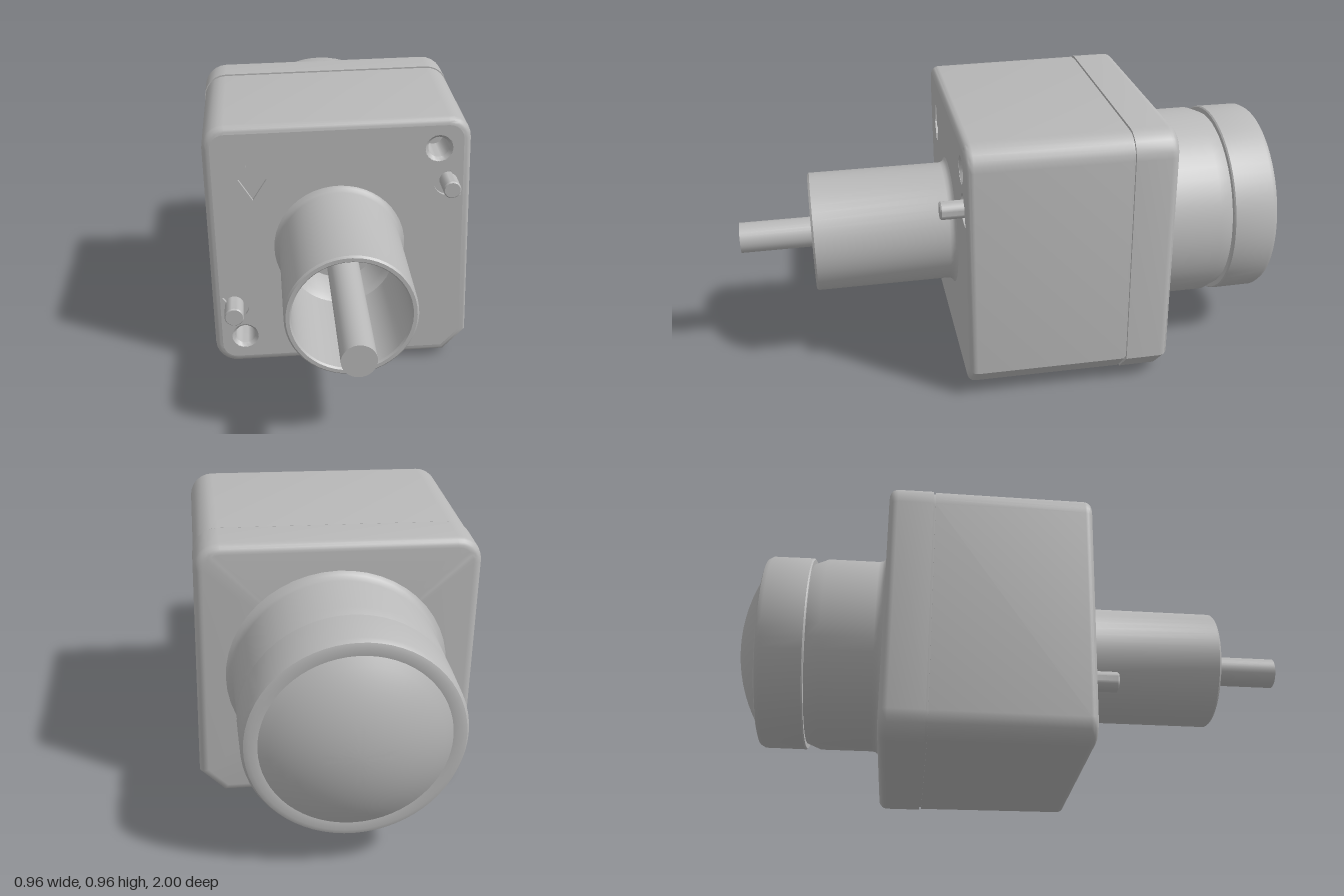
import * as THREE from 'three';
import { toCreasedNormals } from 'three/addons/utils/BufferGeometryUtils.js';

const TILT = 0.02;      // the housing sits slightly turned about the shaft axis
const CENTRE_Y = 0.483; // height of the shaft axis

// Rounded square with one chamfered lower corner, counter-clockwise
function outline(inset) {
  const h = 0.471 - inset, r = 0.085 - inset, c = 0.085 - 0.586 * inset;
  const pts = [new THREE.Vector2(h - c, -h), new THREE.Vector2(h, c - h)];
  [[1, 1], [-1, 1], [-1, -1]].forEach(([sx, sy], k) => {
    for (let i = 0; i <= 6; i++) {
      const a = (k + i / 6) * Math.PI / 2;
      pts.push(new THREE.Vector2(sx * (h - r) + r * Math.cos(a), sy * (h - r) + r * Math.sin(a)));
    }
  });
  return pts.map(p => p.rotateAround(new THREE.Vector2(), TILT));
}

// Skin through [z, inset] rings, closed at the back
function loftHousing(rings) {
  const pos = [], idx = [];
  rings.forEach(([z, inset]) => outline(inset).forEach(p => pos.push(p.x, p.y, z)));
  const n = outline(0).length;
  for (let i = 0; i < rings.length - 1; i++) {
    for (let j = 0; j < n; j++) {
      const a = i * n + j, b = i * n + (j + 1) % n;
      idx.push(a, b, b + n, a, b + n, a + n);
    }
  }
  const mid = pos.length / 3;
  pos.push(0, 0, rings[0][0]);
  for (let j = 0; j < n; j++) idx.push(mid, (j + 1) % n, j);
  const g = new THREE.BufferGeometry();
  g.setAttribute('position', new THREE.Float32BufferAttribute(pos, 3));
  g.setIndex(idx);
  return toCreasedNormals(g, 0.6);
}

// Turned part about the z axis from [radius, z] points
function turned(points, segments = 48) {
  const g = new THREE.LatheGeometry(points.map(p => new THREE.Vector2(...p)), segments);
  g.rotateX(Math.PI / 2);
  return toCreasedNormals(g, 0.6);
}

function circleHole(x, y, r) {
  return new THREE.Path().absarc(x, y, r, 0, Math.PI * 2, true);
}

// U-shaped pocket round a pin, running off towards the housing edge
function pocketHole(x, y, angle, xEnd) {
  const r = 0.053, path = new THREE.Path(), tan = Math.tan(angle);
  const side = s => {
    const px = x - s * r * Math.sin(angle), py = y + s * r * Math.cos(angle);
    return [xEnd, py + (xEnd - px) * tan];
  };
  path.moveTo(...side(1));
  path.absarc(x, y, r, angle + Math.PI / 2, angle + Math.PI * 1.5, false);
  path.lineTo(...side(-1));
  path.closePath();
  return path;
}

function plate(inset, z, depth, holes) {
  const shape = new THREE.Shape(outline(inset));
  shape.holes.push(...holes);
  const g = new THREE.ExtrudeGeometry(shape, { depth, bevelEnabled: false, curveSegments: 24 });
  g.translate(0, 0, z);
  return toCreasedNormals(g, 0.6);
}

export function createModel() {
  const group = new THREE.Group();
  const grey = new THREE.MeshStandardMaterial({ color: 0xb8b8b8 });
  grey.name = 'grey';
  const add = (name, geometry) => {
    const mesh = new THREE.Mesh(geometry, grey);
    mesh.name = name;
    mesh.position.y = CENTRE_Y;
    group.add(mesh);
  };

  // Housing with rounded rims and a seam in front of the rear cover
  const rings = [];
  for (let i = 0; i <= 5; i++) {
    const a = i / 5 * Math.PI / 2;
    rings.push([-0.48 + 0.03 * (1 - Math.cos(a)), 0.03 * (1 - Math.sin(a))]);
  }
  rings.push([-0.326, 0], [-0.326, 0.009], [-0.318, 0.009], [-0.318, 0.003]);
  for (let i = 0; i <= 5; i++) {
    const a = i / 5 * Math.PI / 2;
    rings.push([0.213 + 0.027 * Math.sin(a), 0.006 + 0.027 * (1 - Math.cos(a))]);
  }
  add('housing', loftHousing(rings));

  // Front plate with engraved arrow, pin pockets and screw holes
  const screws = [[0.345, 0.362], [-0.347, -0.36]];
  const pins = [[0.383, 0.237, 0.031], [-0.383, -0.236, 0.035]];
  const arrow = new THREE.Path([
    [-0.323, 0.332], [-0.323, 0.264], [-0.353, 0.264], [-0.303, 0.185],
    [-0.253, 0.264], [-0.283, 0.264], [-0.283, 0.332],
  ].map(p => new THREE.Vector2(...p)));
  add('frontPlate', plate(0.033, 0.226, 0.014, [
    circleHole(0, 0, 0.205), arrow,
    pocketHole(pins[0][0], pins[0][1], 0, 0.428),
    pocketHole(pins[1][0], pins[1][1], Math.PI + 0.52, -0.426).clone(),
    ...screws.map(([x, y]) => circleHole(x, y, 0.048)),
  ]));
  add('frontBacking', plate(0.036, 0.1, 0.126, [
    circleHole(0, 0, 0.205), ...screws.map(([x, y]) => circleHole(x, y, 0.042)),
  ]));

  // Countersunk screw holes
  screws.forEach(([x, y]) => {
    const g = turned([[0.049, 0.2402], [0.037, 0.226], [0.037, 0.1], [0, 0.1]], 24);
    add('screwHole', g.translate(x, y, 0));
  });

  // Locating pins
  pins.forEach(([x, y, r]) => {
    const g = turned([[r, 0.2], [r, 0.315], [r - 0.004, 0.32], [0, 0.32]], 24);
    add('locatingPin', g.translate(x, y, 0));
  });

  // Hollow front sleeve with a flared foot and stepped bore
  add('sleeve', turned([
    [0.236, 0.238], [0.225, 0.244], [0.218, 0.252], [0.215, 0.264], [0.215, 0.738], [0.209, 0.745],
    [0.197, 0.745], [0.192, 0.738], [0.185, 0.32], [0.166, 0.3], [0.147, 0.2], [0, 0.2],
  ]));
  add('shaft', turned([[0.055, 0.19], [0.055, 1], [0, 1]], 32));

  // Rear neck, narrowing into a groove below the cap
  add('rearNeck', turned([
    [0.325, -0.76], [0.333, -0.742], [0.352, -0.695], [0.352, -0.51],
    [0.355, -0.497], [0.363, -0.487], [0.376, -0.479],
  ]));

  // Rear cap with a shallow dome
  const cap = [];
  for (let i = 0; i <= 10; i++) {
    const r = 0.3 * i / 10;
    cap.push([r, -0.455 - Math.sqrt(0.545 ** 2 - r * r)]);
  }
  cap.push([0.327, -0.914], [0.343, -0.909], [0.352, -0.893], [0.353, -0.75], [0.349, -0.745], [0.3, -0.745]);
  add('rearCap', turned(cap, 64));

  return group;
}
